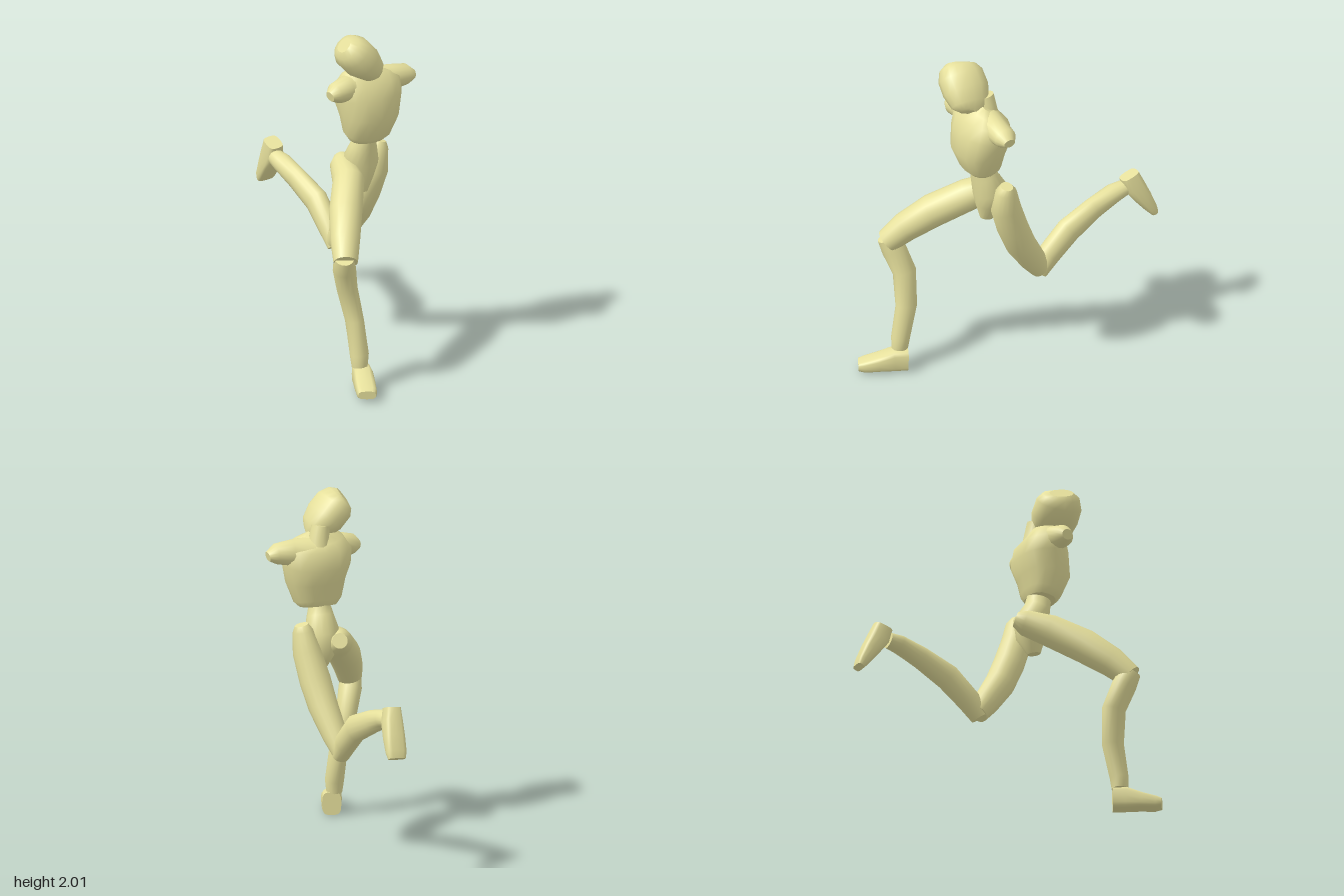
import * as THREE from 'three';

const skin = new THREE.MeshStandardMaterial({ color: 0xe6e09c });
const SIDES = 16;

// Skins a row of oval rings [x, y, z, radiusU, radiusV]; the hint sets the U direction.
// power < 1 makes the sections boxier. Ends are capped with a crisp edge.
function loft(name, rings, hint = [1, 0, 0], power = 1) {
  const centres = rings.map((r) => new THREE.Vector3(r[0], r[1], r[2]));
  const pos = [], index = [];
  const bend = (v) => Math.sign(v) * Math.abs(v) ** power;
  const addRing = (i) => {
    const [, , , ru, rv] = rings[i];
    const t = centres[Math.min(i + 1, rings.length - 1)].clone()
      .sub(centres[Math.max(i - 1, 0)]).normalize();
    const u = new THREE.Vector3(...hint);
    u.addScaledVector(t, -u.dot(t)).normalize();
    const v = t.clone().cross(u);
    const start = pos.length / 3;
    for (let j = 0; j < SIDES; j++) {
      const a = (j / SIDES) * Math.PI * 2;
      const p = centres[i].clone()
        .addScaledVector(u, ru * bend(Math.cos(a)))
        .addScaledVector(v, rv * bend(Math.sin(a)));
      pos.push(p.x, p.y, p.z);
    }
    return start;
  };
  const starts = rings.map((_, i) => addRing(i));
  for (let i = 0; i < rings.length - 1; i++) {
    for (let j = 0; j < SIDES; j++) {
      const k = (j + 1) % SIDES, a = starts[i], b = starts[i + 1];
      index.push(a + j, a + k, b + k, a + j, b + k, b + j);
    }
  }
  for (const end of [0, rings.length - 1]) {
    const s = addRing(end), c = pos.length / 3;
    pos.push(...centres[end].toArray());
    for (let j = 0; j < SIDES; j++) {
      const k = (j + 1) % SIDES;
      if (end === 0) index.push(c, s + k, s + j);
      else index.push(c, s + j, s + k);
    }
  }
  const geo = new THREE.BufferGeometry();
  geo.setAttribute('position', new THREE.Float32BufferAttribute(pos, 3));
  geo.setIndex(index);
  geo.computeVertexNormals();
  const mesh = new THREE.Mesh(geo, skin);
  mesh.name = name;
  return mesh;
}

export function createModel() {
  const model = new THREE.Group();
  model.name = 'runningFigure';

  // Head, tilted from crown to chin, and neck
  model.add(loft('head', [
    [-0.115, 1.968, 0.31, 0.07, 0.045],
    [-0.1, 1.955, 0.315, 0.11, 0.08],
    [-0.065, 1.92, 0.318, 0.135, 0.106],
    [-0.005, 1.855, 0.318, 0.137, 0.106],
    [0.055, 1.795, 0.325, 0.115, 0.078],
    [0.085, 1.77, 0.33, 0.075, 0.045],
    [0.095, 1.762, 0.335, 0.04, 0.025],
  ], [0, 0, 1], 0.9));
  model.add(loft('neck', [
    [0.08, 1.62, 0.21, 0.08, 0.07],
    [0.075, 1.74, 0.225, 0.062, 0.058],
    [0.06, 1.83, 0.235, 0.052, 0.055],
  ]));

  // Rib cage, bottom to top
  model.add(loft('chest', [
    [0.065, 1.355, 0.26, 0.11, 0.08],
    [0.065, 1.39, 0.265, 0.14, 0.105],
    [0.07, 1.5, 0.285, 0.172, 0.14],
    [0.075, 1.61, 0.262, 0.2, 0.15],
    [0.07, 1.7, 0.258, 0.205, 0.125],
    [0.07, 1.75, 0.25, 0.15, 0.085],
    [0.08, 1.78, 0.235, 0.07, 0.05],
  ], [1, 0, 0], 0.85));

  // Shoulder stubs
  model.add(loft('rightShoulder', [
    [0.0, 1.66, 0.27, 0.09, 0.1],
    [-0.09, 1.69, 0.285, 0.075, 0.075],
    [-0.165, 1.68, 0.3, 0.065, 0.06],
    [-0.205, 1.67, 0.305, 0.035, 0.03],
  ], [0, 0, 1]));
  model.add(loft('leftShoulder', [
    [0.13, 1.66, 0.25, 0.1, 0.11],
    [0.24, 1.685, 0.255, 0.075, 0.075],
    [0.33, 1.685, 0.26, 0.066, 0.06],
    [0.378, 1.675, 0.262, 0.035, 0.028],
  ], [0, 0, 1]));

  // Waist tapering down to the crotch
  model.add(loft('pelvis', [
    [0.06, 1.36, 0.25, 0.06, 0.072],
    [0.06, 1.3, 0.24, 0.078, 0.075],
    [0.065, 1.2, 0.2, 0.105, 0.1],
    [0.062, 1.1, 0.2, 0.075, 0.085],
    [0.06, 1.01, 0.22, 0.03, 0.04],
  ]));

  // Right leg, striding forward
  model.add(loft('rightThigh', [
    [0.01, 1.18, 0.08, 0.045, 0.045],
    [-0.01, 1.16, 0.13, 0.075, 0.075],
    [-0.06, 1.115, 0.27, 0.092, 0.095],
    [-0.18, 1.0, 0.43, 0.095, 0.1],
    [-0.265, 0.89, 0.56, 0.085, 0.088],
    [-0.318, 0.795, 0.65, 0.07, 0.07],
  ]));
  model.add(loft('rightShin', [
    [-0.325, 0.82, 0.645, 0.055, 0.062],
    [-0.305, 0.74, 0.615, 0.066, 0.072],
    [-0.26, 0.6, 0.572, 0.058, 0.07],
    [-0.218, 0.4, 0.585, 0.05, 0.066],
    [-0.212, 0.2, 0.628, 0.055, 0.054],
    [-0.213, 0.13, 0.632, 0.045, 0.048],
  ]));
  model.add(loft('rightFoot', [
    [-0.182, 0.07, 0.6, 0.055, 0.068],
    [-0.213, 0.072, 0.67, 0.058, 0.068],
    [-0.25, 0.058, 0.75, 0.06, 0.048],
    [-0.285, 0.047, 0.825, 0.058, 0.036],
    [-0.302, 0.045, 0.855, 0.05, 0.024],
  ], [1, 0, 0.42], 0.6));

  // Left leg, kicked back
  model.add(loft('leftThigh', [
    [0.208, 1.275, 0.175, 0.04, 0.035],
    [0.2, 1.24, 0.175, 0.058, 0.062],
    [0.18, 1.12, 0.165, 0.08, 0.088],
    [0.155, 0.96, 0.105, 0.09, 0.09],
    [0.135, 0.82, 0.04, 0.085, 0.088],
    [0.108, 0.67, -0.06, 0.072, 0.076],
    [0.092, 0.58, -0.12, 0.055, 0.058],
  ]));
  model.add(loft('leftShin', [
    [0.095, 0.555, -0.11, 0.05, 0.045],
    [0.092, 0.65, -0.175, 0.062, 0.072],
    [0.09, 0.77, -0.31, 0.062, 0.08],
    [0.072, 0.85, -0.49, 0.054, 0.068],
    [0.062, 0.9, -0.63, 0.06, 0.054],
    [0.06, 0.912, -0.7, 0.05, 0.046],
  ]));
  model.add(loft('leftFoot', [
    [0.065, 0.99, -0.733, 0.045, 0.055],
    [0.075, 0.92, -0.757, 0.055, 0.062],
    [0.085, 0.84, -0.805, 0.06, 0.05],
    [0.093, 0.76, -0.852, 0.06, 0.034],
    [0.096, 0.725, -0.87, 0.052, 0.022],
  ], [1, 0, 0], 0.6));

  return model;
}
